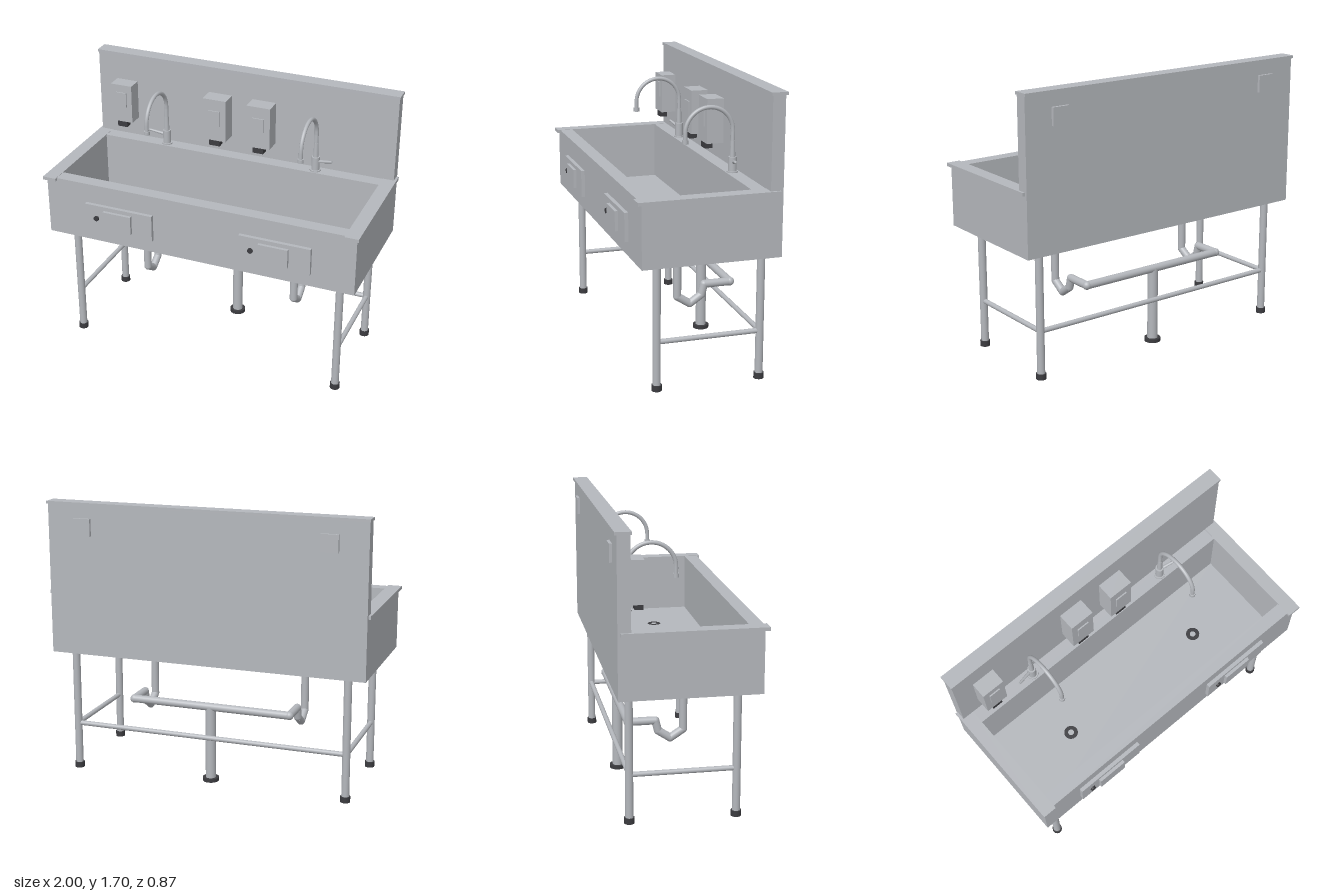
import * as THREE from 'three';

export function createModel() {
  const model = new THREE.Group();
  model.name = 'washTrough';
  const steel = new THREE.MeshStandardMaterial({ name: 'steel', color: 0xb4b7bc });
  const dark = new THREE.MeshStandardMaterial({ name: 'darkRubber', color: 0x3c3c40 });

  function add(name, geometry, material = steel) {
    const mesh = new THREE.Mesh(geometry, material);
    mesh.name = name;
    model.add(mesh);
    return mesh;
  }
  // Box given by its limits on each axis
  function box(name, x0, x1, y0, y1, z0, z1, material) {
    const g = new THREE.BoxGeometry(x1 - x0, y1 - y0, z1 - z0);
    add(name, g.translate((x0 + x1) / 2, (y0 + y1) / 2, (z0 + z1) / 2), material);
  }
  // Upright cylinder
  function post(name, x, z, y0, y1, r, material, rTop = r) {
    const g = new THREE.CylinderGeometry(rTop, r, y1 - y0, 24);
    add(name, g.translate(x, (y0 + y1) / 2, z), material);
  }
  // Round bar between two points
  function bar(name, a, b, r, rEnd = r) {
    const from = new THREE.Vector3(...a), to = new THREE.Vector3(...b);
    const dir = to.clone().sub(from);
    const mesh = add(name, new THREE.CylinderGeometry(rEnd, r, dir.length(), 20));
    mesh.position.copy(from).addScaledVector(dir, 0.5);
    mesh.quaternion.setFromUnitVectors(new THREE.Vector3(0, 1, 0), dir.normalize());
  }
  // Mitred pipe: bars joined by balls
  function pipe(name, points, r) {
    for (let i = 0; i < points.length - 1; i++) {
      bar(name, points[i], points[i + 1], r);
      if (i > 0) add(name + 'Elbow', new THREE.SphereGeometry(r, 20, 14).translate(...points[i]));
    }
  }
  function rectangle(Target, x0, x1, y0, y1) {
    const p = new Target();
    p.moveTo(x0, y0); p.lineTo(x1, y0); p.lineTo(x1, y1); p.lineTo(x0, y1); p.closePath();
    return p;
  }

  // Trough walls and floor
  const plan = rectangle(THREE.Shape, -0.985, 0.985, -0.395, 0.345);
  plan.holes.push(rectangle(THREE.Path, -0.915, 0.915, -0.32, 0.26));
  const walls = new THREE.ExtrudeGeometry(plan, { depth: 0.37, bevelEnabled: false });
  add('troughWalls', walls.rotateX(-Math.PI / 2).translate(0, 0.765, 0));
  box('troughFloor', -0.915, 0.915, 0.765, 0.79, -0.26, 0.32);

  // Rim strips
  for (const s of [-1, 1]) {
    box('sideRim', s * 0.9575 - 0.0425, s * 0.9575 + 0.0425, 1.13, 1.15, -0.403, 0.42);
  }
  box('frontRim', -0.915, 0.915, 1.13, 1.148, 0.32, 0.402);
  box('backDeck', -0.915, 0.915, 1.13, 1.148, -0.345, -0.26);

  // Splashback, its cap and the wall plates
  box('splashback', -0.985, 0.985, 0.765, 1.685, -0.42, -0.345);
  box('splashbackCap', -0.99, 0.99, 1.683, 1.7, -0.432, -0.338);
  for (const s of [-1, 1]) {
    box('wallPlate', s * 0.76 - 0.053, s * 0.76 + 0.053, 1.5, 1.605, -0.437, -0.42);
  }

  // Legs, feet and stretchers
  for (const x of [-0.865, 0.865]) {
    for (const z of [0.275, -0.345]) {
      post('leg', x, z, 0.03, 0.76, 0.0235);
      post('legFlange', x, z, 0.752, 0.766, 0.036);
      post('foot', x, z, 0, 0.035, 0.03, dark);
    }
    bar('sideStretcher', [x, 0.293, 0.275], [x, 0.293, -0.345], 0.015);
  }
  bar('backStretcher', [-0.865, 0.293, -0.345], [0.865, 0.293, -0.345], 0.015);

  // Shared waste pipe and standpipe
  bar('wasteManifold', [-0.5, 0.475, -0.295], [0.5, 0.475, -0.295], 0.024);
  post('standpipe', 0, -0.288, 0.01, 0.478, 0.032);
  post('standpipeBase', 0, -0.288, 0, 0.022, 0.05, dark);

  for (const s of [-1, 1]) {
    const x = s * 0.5;

    // Drain and trap
    add('drainRing', new THREE.RingGeometry(0.018, 0.042, 28).rotateX(-Math.PI / 2).translate(x, 0.794, 0.033), dark);
    post('drainCollar', x, 0.035, 0.728, 0.766, 0.04);
    pipe('trap', [
      [x, 0.75, 0.035], [x, 0.413, 0.035], [x, 0.362, -0.043],
      [x, 0.411, -0.116], [x, 0.475, -0.132], [x, 0.475, -0.295],
    ], 0.024);
    add('trapEnd', new THREE.SphereGeometry(0.026, 20, 14).translate(x, 0.475, -0.295));

    // Gooseneck tap
    const neck = new THREE.CurvePath();
    const arch = [];
    for (let i = 0; i <= 16; i++) {
      const a = Math.PI * i / 16;
      arch.push(new THREE.Vector3(x, 1.395 + 0.145 * Math.sin(a), -0.155 - 0.145 * Math.cos(a)));
    }
    neck.add(new THREE.LineCurve3(new THREE.Vector3(x, 1.24, -0.3), arch[0]));
    neck.add(new THREE.CatmullRomCurve3(arch));
    neck.add(new THREE.LineCurve3(arch[16], new THREE.Vector3(x, 1.34, -0.01)));
    add('tapNeck', new THREE.TubeGeometry(neck, 64, 0.0125, 14));
    post('tapFlange', x, -0.3, 1.148, 1.156, 0.034);
    post('tapBody', x, -0.3, 1.15, 1.24, 0.025);
    post('tapSleeve', x, -0.3, 1.24, 1.335, 0.016, steel, 0.0135);
    post('tapNozzle', x, -0.01, 1.333, 1.357, 0.018);
    bar('tapLever', [x, 1.205, -0.305], [x + s * 0.112, 1.235, -0.275], 0.011, 0.007);

    // Front control panel
    box('controlPanel', x - 0.222, x + 0.222, 0.85, 1.02, 0.395, 0.418);
    box('controlPlate', x - 0.094, x + 0.09, 0.877, 0.995, 0.418, 0.437);
    const sensor = new THREE.CylinderGeometry(0.016, 0.016, 0.014, 20).rotateX(Math.PI / 2);
    add('sensorButton', sensor.translate(x - 0.145, 0.935, 0.423), dark);
  }

  // Soap dispensers: centre x, half width, bottom, top, front z
  for (const [x, w, y0, y1, z] of [
    [-0.79, 0.071, 1.27, 1.52, -0.25],
    [-0.148, 0.077, 1.257, 1.53, -0.24],
    [0.142, 0.077, 1.257, 1.53, -0.24],
  ]) {
    box('dispenser', x - w, x + w, y0, y1, -0.346, z);
    box('dispenserWindow', x - w / 2, x + w / 2, y0 + 0.1, y0 + 0.2, z, z + 0.008);
    box('dispenserNozzle', x - w * 0.46, x + w * 0.46, y0 - 0.037, y0, z - 0.05, z - 0.002, dark);
  }

  return model;
}
